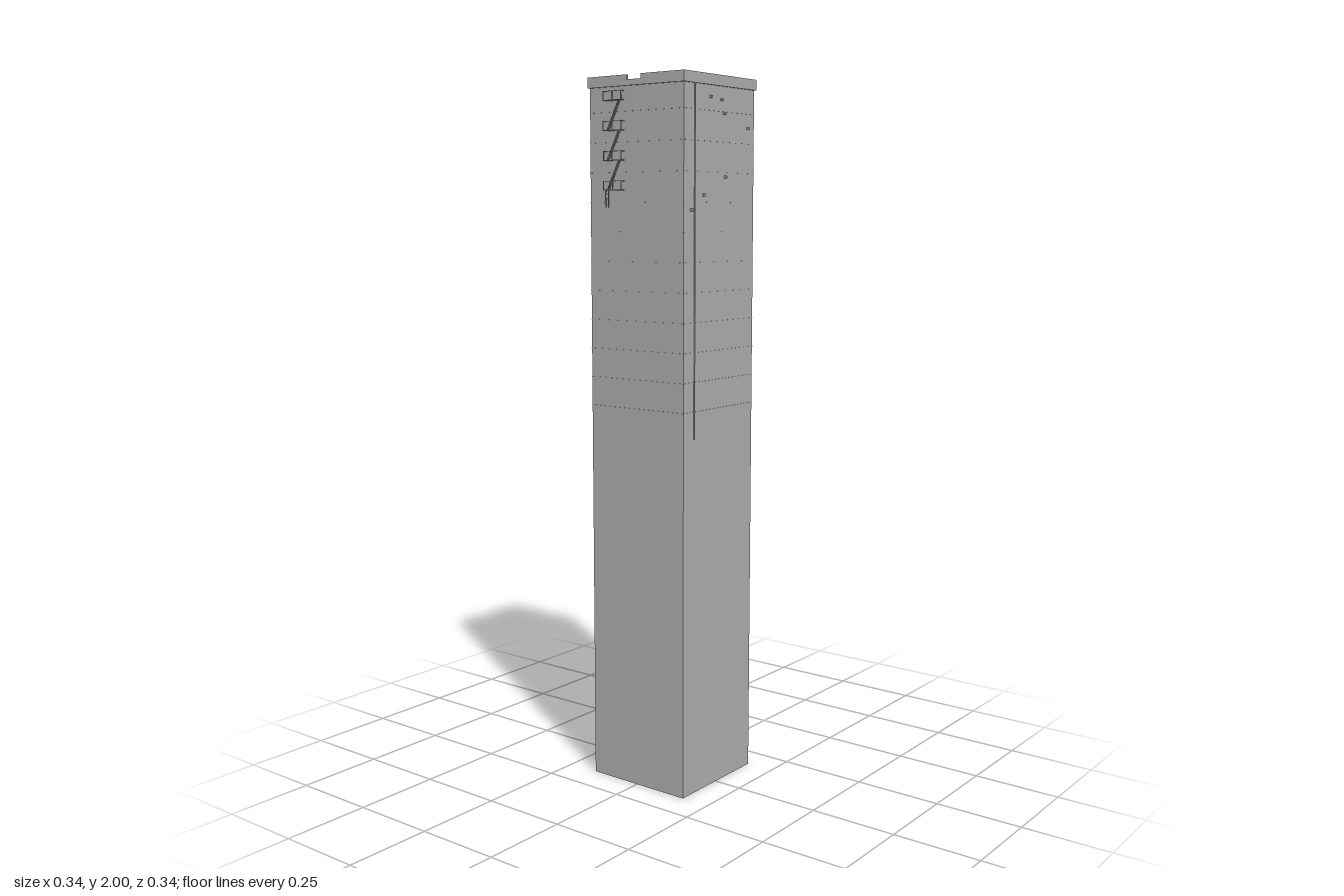
import * as THREE from 'three';
import { mergeGeometries } from 'three/addons/utils/BufferGeometryUtils.js';

const HALF = 0.162;    // half width of the shaft
const LIP = 0.167;     // half width of the cornice
const CENTRE = 0.0045; // the shaft sits off centre to make room for the fire escapes

const box = (w, h, d, x, y, z) => new THREE.BoxGeometry(w, h, d).translate(x, y, z);

// square bar between two points (in a plane facing +z)
function bar(x1, y1, x2, y2, z, t, depth) {
  const g = new THREE.BoxGeometry(Math.hypot(x2 - x1, y2 - y1), t, depth);
  g.rotateZ(Math.atan2(y2 - y1, x2 - x1));
  return g.translate((x1 + x2) / 2, (y1 + y2) / 2, z);
}

// zigzag stairs with slatted landings and railings, built against a +z wall
function fireEscape(left, right) {
  const parts = [];
  const t = 0.002, inner = HALF, outer = 0.1765;
  const mid = (inner + outer) / 2, depth = outer - inner;
  const width = right - left, cx = (left + right) / 2;
  const step = 0.08, floors = 4, y0 = 1.695;
  for (let i = 0; i < floors; i++) {
    const y = y0 + i * step;
    // landing frame and slats
    for (const z of [inner + t / 2, outer - t / 2]) parts.push(box(width, t, t, cx, y, z));
    for (let s = 0; s <= 10; s++) {
      parts.push(box(t, t, depth, left + t / 2 + (width - t) * s / 10, y, mid));
    }
    // railing
    parts.push(box(width, t * 0.8, t, cx, y + 0.024, outer - t / 2));
    for (const x of [left + t / 2, cx, right - t / 2]) {
      parts.push(box(t, 0.024, t, x, y + 0.012, outer - t / 2));
    }
    for (const x of [left + t / 2, right - t / 2]) parts.push(box(t, t, depth, x, y + 0.024, mid));
    // flight up to the next landing
    if (i < floors - 1) {
      const a = left + 0.012, b = right - 0.012;
      for (const z of [mid - 0.003, mid + 0.003]) parts.push(bar(a, y, b, y + step, z, 0.003, 0.0015));
      for (let s = 1; s < 9; s++) {
        parts.push(box(0.005, 0.0015, 0.007, a + (b - a) * s / 9, y + step * s / 9, mid));
      }
    }
  }
  // drop ladder
  for (const x of [left + 0.006, left + 0.016]) parts.push(box(t, 0.05, t, x, y0 - 0.022, outer - 0.004));
  for (let s = 0; s < 5; s++) parts.push(box(0.01, 0.001, 0.001, left + 0.011, y0 - 0.04 + s * 0.009, outer - 0.004));
  return mergeGeometries(parts);
}

// four facades: turn about y, pipes (u), studs (u, y), parapet gap (u), fire escape (left, right)
const FACADES = [
  { name: 'front', turn: 0, pipes: [], studs: [], gap: [-0.027, 0.021], escape: [-0.105, -0.04] },
  { name: 'left', turn: Math.PI / 2, pipes: [-0.115],
    studs: [[-0.044, 1.94], [0.005, 1.935], [0.018, 1.9], [0.13, 1.865], [0.025, 1.73], [-0.075, 1.68], [-0.13, 1.64]] },
  { name: 'back', turn: Math.PI, pipes: [-0.09, 0.125, -0.157, 0.157],
    studs: [[-0.12, 1.82], [-0.126, 1.77], [-0.095, 1.66], [-0.06, 1.655], [0.038, 1.78], [0.064, 1.785]] },
  { name: 'right', turn: -Math.PI / 2, pipes: [],
    studs: [[0, 1.86], [0.05, 1.9], [0.06, 1.88], [0.05, 1.82]], gap: [-0.026, 0.022], escape: [-0.095, -0.03] },
];

export function createModel() {
  const model = new THREE.Group();
  model.name = 'tower';
  const grey = new THREE.MeshStandardMaterial({ color: 0xaaaaaa, flatShading: true, side: THREE.DoubleSide });
  grey.name = 'concrete grey';

  const building = new THREE.Group();
  building.name = 'building';
  building.position.set(CENTRE, 0, -CENTRE);
  model.add(building);
  const add = (parent, name, geometry) => {
    const mesh = new THREE.Mesh(geometry, grey);
    mesh.name = name;
    parent.add(mesh);
  };

  // hollow shaft, open at the bottom
  const r = HALF * Math.SQRT2;
  add(building, 'shaft', new THREE.CylinderGeometry(r, r, 1.975, 4, 1, true).rotateY(Math.PI / 4).translate(0, 1.975 / 2, 0));
  // roof slab with overhanging edge
  add(building, 'roofSlab', box(LIP * 2, 0.016, LIP * 2, 0, 1.979, 0));

  for (const f of FACADES) {
    const side = new THREE.Group();
    side.name = f.name + 'Facade';
    side.rotation.y = f.turn;
    building.add(side);

    // parapet, broken where there is a gap
    const runs = f.gap ? [[-LIP, f.gap[0]], [f.gap[1], LIP]] : [[-LIP, LIP]];
    add(side, 'parapet', mergeGeometries(runs.map(([a, b]) =>
      box(b - a, 0.014, 0.005, (a + b) / 2, 1.993, LIP - 0.0025))));

    // thin floor ledges
    const ledges = [];
    for (let i = 0; i < 11; i++) ledges.push(box(HALF * 2, 0.002, 0.002, 0, 1.095 + i * 0.081, HALF + 0.0008));
    add(side, 'floorLedges', mergeGeometries(ledges));

    // drain pipes down the upper half
    for (const u of f.pipes) {
      add(side, 'drainPipe', new THREE.CylinderGeometry(0.002, 0.002, 0.955, 8).translate(u, 1.4975, HALF + 0.002));
    }
    // small wall vents
    if (f.studs.length) {
      add(side, 'wallVents', mergeGeometries(f.studs.map(([u, y]) => box(0.008, 0.007, 0.006, u, y, HALF + 0.0028))));
    }
    if (f.escape) add(side, 'fireEscape', fireEscape(...f.escape));
  }
  return model;
}
